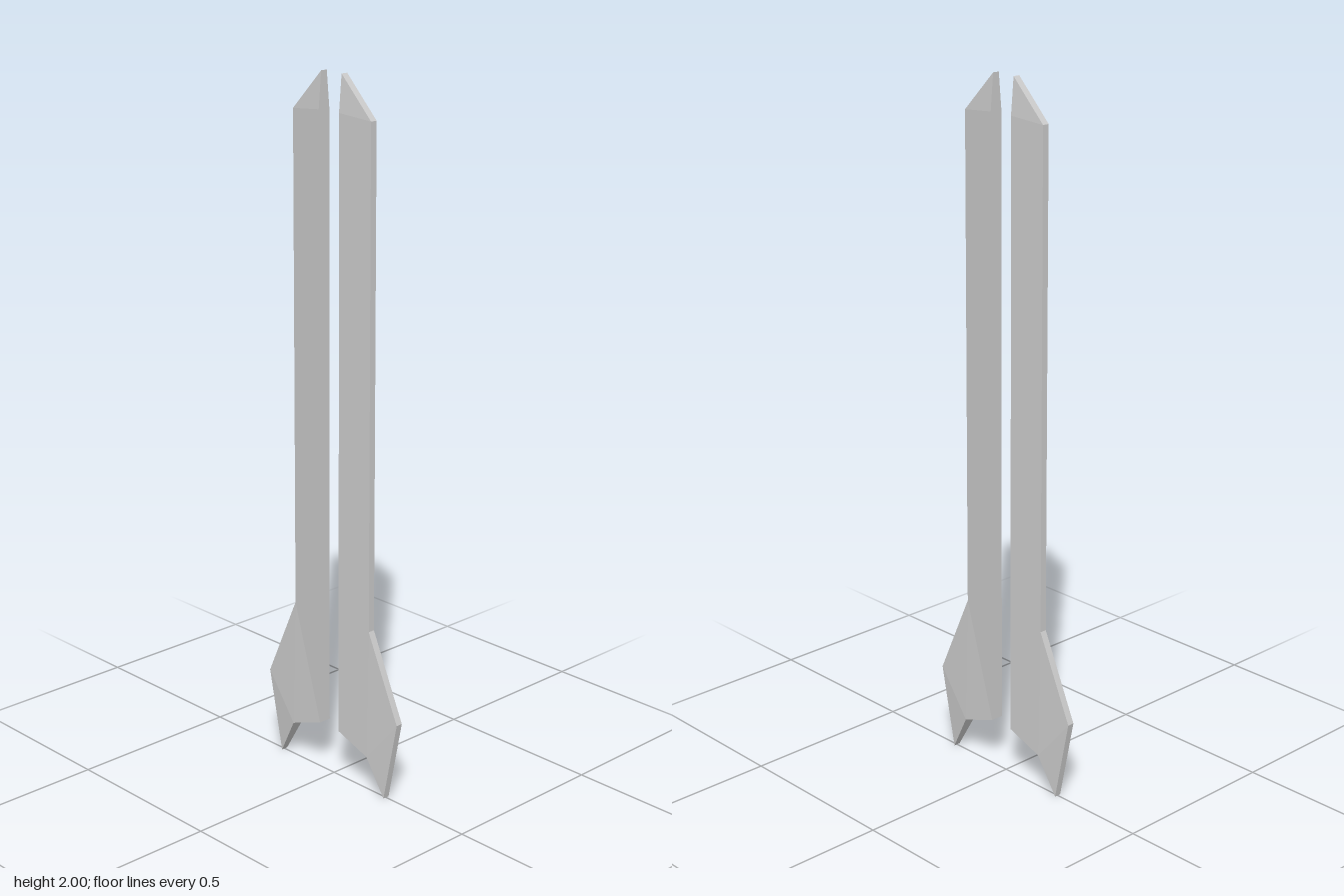
import * as THREE from 'three';

// Outline of one half: x, y, half thickness (thin at the outer edge, thick at the spine)
const OUTLINE = [
  [0.038, 2.0, 0.01], // tip
  [0.146, 1.89, 0.01],
  [0.148, 0.485, 0.01], // fin starts
  [0.259, 0.24, 0.01],
  [0.21, 0.0, 0.01], // fin point
  [0.15, 0.11, 0.019],
  [0.038, 0.15, 0.019], // foot of the spine
  [0.038, 1.9, 0.019], // head of the spine
];

// Facets of the front face
const FACETS = [[0, 7, 1], [7, 6, 2], [7, 2, 1], [6, 5, 2], [5, 3, 2], [5, 4, 3]];

function bladeGeometry(side) {
  const n = OUTLINE.length;
  const positions = [];
  const point = (i) => {
    const [x, y, t] = OUTLINE[i % n];
    return [side * x, y, i < n ? t : -t];
  };
  // Mirrored half swaps its corner order so faces still look outward
  const tri = (a, b, c) => {
    const order = side > 0 ? [a, b, c] : [a, c, b];
    order.forEach((i) => positions.push(...point(i)));
  };

  // Front and back faces
  for (const [a, b, c] of FACETS) {
    tri(a, b, c);
    tri(a + n, c + n, b + n);
  }
  // Rim joining them
  for (let i = 0; i < n; i++) {
    const j = (i + 1) % n;
    tri(i, j, j + n);
    tri(i, j + n, i + n);
  }

  const geometry = new THREE.BufferGeometry();
  geometry.setAttribute('position', new THREE.Float32BufferAttribute(positions, 3));
  geometry.computeVertexNormals();
  return geometry;
}

export function createModel() {
  const model = new THREE.Group();
  model.name = 'splitBlade';
  const material = new THREE.MeshStandardMaterial({ color: 0xcccccc, flatShading: true });
  for (const [name, side] of [['leftBlade', 1], ['rightBlade', -1]]) {
    const blade = new THREE.Mesh(bladeGeometry(side), material);
    blade.name = name;
    model.add(blade);
  }
  return model;
}
